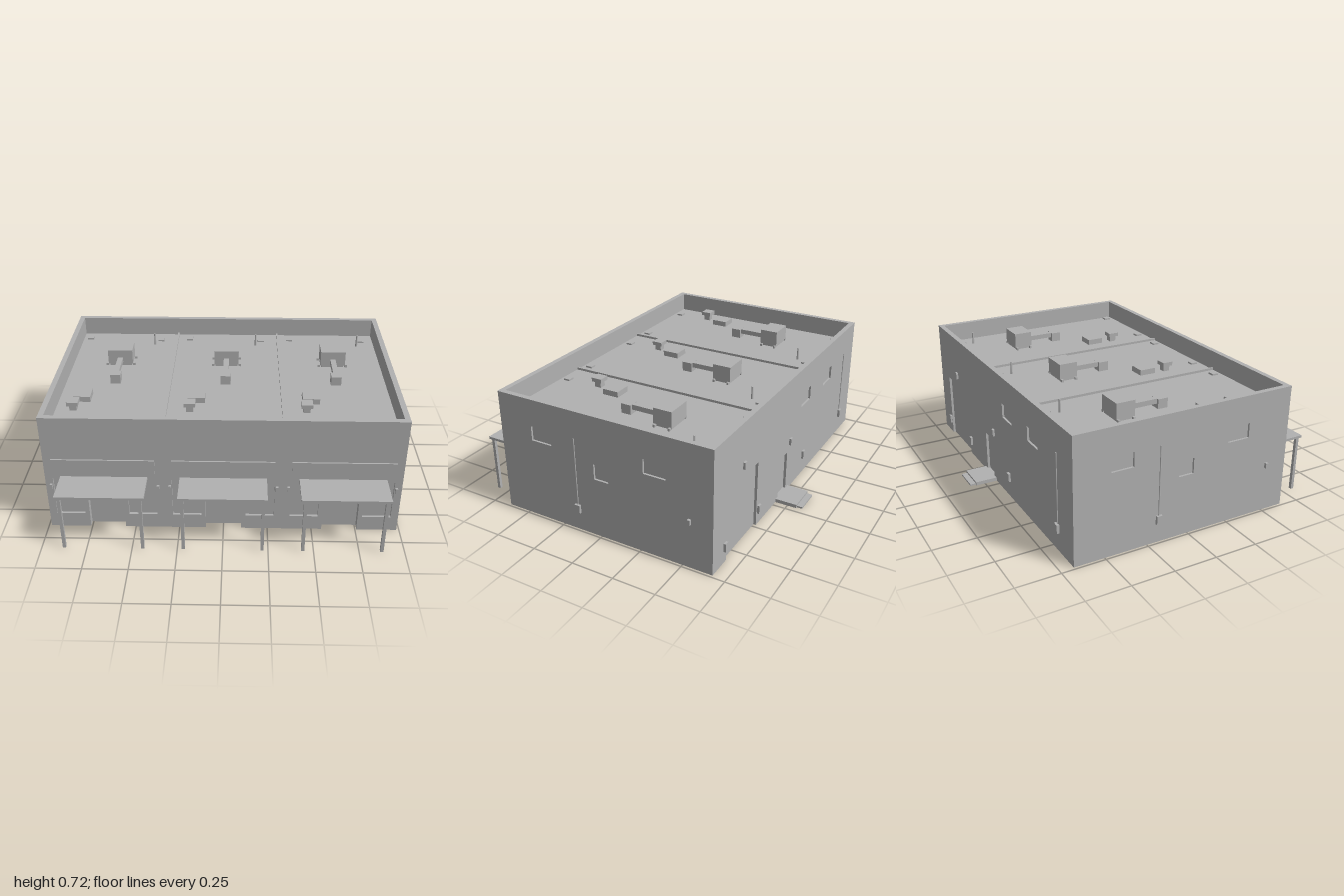
import * as THREE from 'three';

const W = 0.985, D = 0.6575, ZC = -0.0175, H = 0.72, ROOF = 0.607;

export function createModel() {
  const root = new THREE.Group();
  root.name = 'commercialBuilding';
  const grey = new THREE.MeshStandardMaterial({ color: 0xb1b1b1, side: THREE.DoubleSide });
  grey.name = 'concreteGrey';

  function add(parent, name, geo, x = 0, y = 0, z = 0) {
    const m = new THREE.Mesh(geo, grey);
    m.name = name;
    m.position.set(x, y, z);
    parent.add(m);
    return m;
  }
  // box given by its min/max extents
  function box(parent, name, x0, x1, y0, y1, z0, z1) {
    return add(parent, name, new THREE.BoxGeometry(x1 - x0, y1 - y0, z1 - z0),
      (x0 + x1) / 2, (y0 + y1) / 2, (z0 + z1) / 2);
  }
  function rect(path, x0, x1, y0, y1) {
    path.moveTo(x0, y0);
    path.lineTo(x1, y0);
    path.lineTo(x1, y1);
    path.lineTo(x0, y1);
    path.closePath();
    return path;
  }

  // single-skin wall with recessed openings: [name, x0, x1, y0, y1, depth]
  function wall(name, half, openings, x, z, turn) {
    const g = new THREE.Group();
    g.name = name;
    g.position.set(x, 0, z);
    g.rotation.y = turn;
    root.add(g);
    const shape = new THREE.Shape();
    shape.moveTo(-half, 0);
    const doors = openings.filter(o => o[3] === 0).sort((a, b) => a[1] - b[1]);
    for (const [, x0, x1, , y1] of doors) {
      shape.lineTo(x0, 0);
      shape.lineTo(x0, y1);
      shape.lineTo(x1, y1);
      shape.lineTo(x1, 0);
    }
    shape.lineTo(half, 0);
    shape.lineTo(half, H);
    shape.lineTo(-half, H);
    for (const [, x0, x1, y0, y1] of openings.filter(o => o[3] > 0))
      shape.holes.push(rect(new THREE.Path(), x0, x1, y0, y1));
    add(g, name + 'Panel', new THREE.ShapeGeometry(shape));
    for (const [part, x0, x1, y0, y1, depth] of openings) {
      const m = box(g, part, x0, x1, y0, y1, -depth, 0);
      // drop the open front, and the sill of doors
      const idx = Array.from(m.geometry.index.array);
      m.geometry.setIndex(idx.filter((_, i) => {
        const face = Math.floor(i / 6);
        return face !== 4 && !(face === 3 && y0 === 0);
      }));
      m.geometry.clearGroups();
    }
    return g;
  }
  // conduit running down to a meter box
  function conduit(g, u) {
    add(g, 'conduit', new THREE.CylinderGeometry(0.0035, 0.0035, 0.4, 16), u, 0.36, 0.002);
    box(g, 'meterBox', u - 0.017, u + 0.017, 0.11, 0.16, 0, 0.015);
  }

  // front wall with shopfronts
  const units = [-0.658, 0, 0.658];
  const frontOpenings = [];
  for (const c of units) {
    frontOpenings.push(['entryDoor', c - 0.1, c + 0.1, 0, 0.33, 0.04]);
    for (const s of [-1, 1])
      frontOpenings.push(['shopWindow', c + s * 0.205 - 0.08, c + s * 0.205 + 0.08, 0.09, 0.33, 0.015]);
  }
  const front = wall('frontWall', W, frontOpenings, 0, ZC + D, 0);
  for (const c of units) {
    box(front, 'signBoard', c - 0.283, c + 0.283, 0.375, 0.46, 0, 0.009);
    box(front, 'canopy', c - 0.24, c + 0.24, 0.335, 0.35, 0.004, 0.197);
    for (const s of [-1, 1]) {
      box(front, 'canopyPost', c + s * 0.217 - 0.009, c + s * 0.217 + 0.009, 0, 0.335, 0.173, 0.191);
      box(front, 'wallLight', c + s * 0.297 - 0.007, c + s * 0.297 + 0.007, 0.265, 0.295, 0, 0.014);
    }
  }

  // side walls, identical under a half turn
  const sideOpenings = [
    ['sideWindow', -0.448, -0.318, 0.475, 0.56, 0.012],
    ['sideWindow', 0.258, 0.39, 0.475, 0.56, 0.012],
    ['sideWindow', -0.048, 0.042, 0.35, 0.44, 0.012]];
  for (const s of [1, -1]) {
    const side = wall(s > 0 ? 'leftWall' : 'rightWall', D, sideOpenings, s * W, ZC, s * Math.PI / 2);
    conduit(side, -0.165);
    box(side, 'sideLight', 0.517, 0.533, 0.265, 0.295, 0, 0.015);
  }

  // back wall (local x is mirrored)
  const back = wall('backWall', W, [
    ['loadingDoor', -0.838, -0.48, 0, 0.4, 0.015],
    ['backDoor', -0.185, -0.075, 0.021, 0.26, 0.015],
    ['backWindow', 0.107, 0.24, 0.475, 0.56, 0.012],
    ['backWindow', 0.455, 0.588, 0.475, 0.56, 0.012]], 0, ZC - D, Math.PI);
  conduit(back, 0.81);
  for (const [u, y] of [[-0.655, 0.473], [-0.043, 0.32]])
    box(back, 'doorLight', u - 0.012, u + 0.012, y - 0.02, y + 0.02, 0, 0.013);
  for (const [u, y] of [[-0.855, 0.095], [-0.455, 0.095], [0.175, 0.127]])
    box(back, 'utilityBox', u - 0.014, u + 0.014, y - 0.025, y + 0.025, 0, 0.013);
  box(back, 'landing', -0.215, -0.042, 0, 0.021, 0, 0.13);
  box(back, 'step', -0.205, -0.052, 0, 0.01, 0.13, 0.163);

  // parapet and its coping
  function ring(name, inset, inner, y, h) {
    const s = rect(new THREE.Shape(), -W + inset, W - inset, -D + inset, D - inset);
    s.holes.push(rect(new THREE.Path(), -W + inner, W - inner, -D + inner, D - inner));
    const geo = new THREE.ExtrudeGeometry(s, { depth: h, bevelEnabled: false });
    geo.rotateX(-Math.PI / 2);
    add(root, name, geo, 0, y, ZC);
  }
  ring('parapet', 0.004, 0.03, ROOF, H - 0.01 - ROOF);
  ring('coping', -0.001, 0.03, H - 0.01, 0.011);

  // roof deck with raised divider strips
  box(root, 'roofDeck', -W + 0.004, W - 0.004, ROOF - 0.006, ROOF, ZC - D + 0.004, ZC + D - 0.004);
  for (const s of [-1, 1])
    box(root, 'roofDivider', s * 0.329 - 0.005, s * 0.329 + 0.005, ROOF - 0.009, ROOF + 0.014,
      ZC - D + 0.03, ZC + D - 0.03);

  // roof equipment for each unit
  for (const c of units) {
    const g = new THREE.Group();
    g.name = 'roofEquipment';
    g.position.set(c, ROOF, 0);
    root.add(g);
    box(g, 'airHandlerBase', -0.068, 0.068, 0, 0.015, -0.288, -0.19);
    box(g, 'airHandler', -0.075, 0.076, 0.015, 0.105, -0.295, -0.183);
    for (const s of [-1, 1])
      for (const z of [-0.285, -0.195])
        box(g, 'airHandlerFoot', s * 0.083 - 0.008, s * 0.083 + 0.008, 0, 0.015, z - 0.006, z + 0.006);
    box(g, 'duct', -0.016, 0.016, 0.027, 0.056, -0.183, -0.01);
    box(g, 'ductEnd', -0.03, 0.03, 0, 0.056, -0.012, 0.048);
    box(g, 'roofHatch', -0.212, -0.114, 0, 0.033, 0.17, 0.27);
    box(g, 'exhaustFanBase', -0.215, -0.175, 0, 0.035, 0.33, 0.37);
    box(g, 'exhaustFanCap', -0.228, -0.163, 0.035, 0.058, 0.318, 0.382);
    add(g, 'ventPipe', new THREE.CylinderGeometry(0.005, 0.007, 0.075, 16), 0.185, 0.0375, -0.49);
    // low drain covers near the corners
    for (const [x, z] of [[-0.25, -0.573], [0.22, -0.555], [-0.18, 0.565], [0.26, 0.565]])
      box(g, 'drainCover', x - 0.02, x + 0.02, 0, 0.01, z - 0.02, z + 0.02);
  }
  return root;
}
